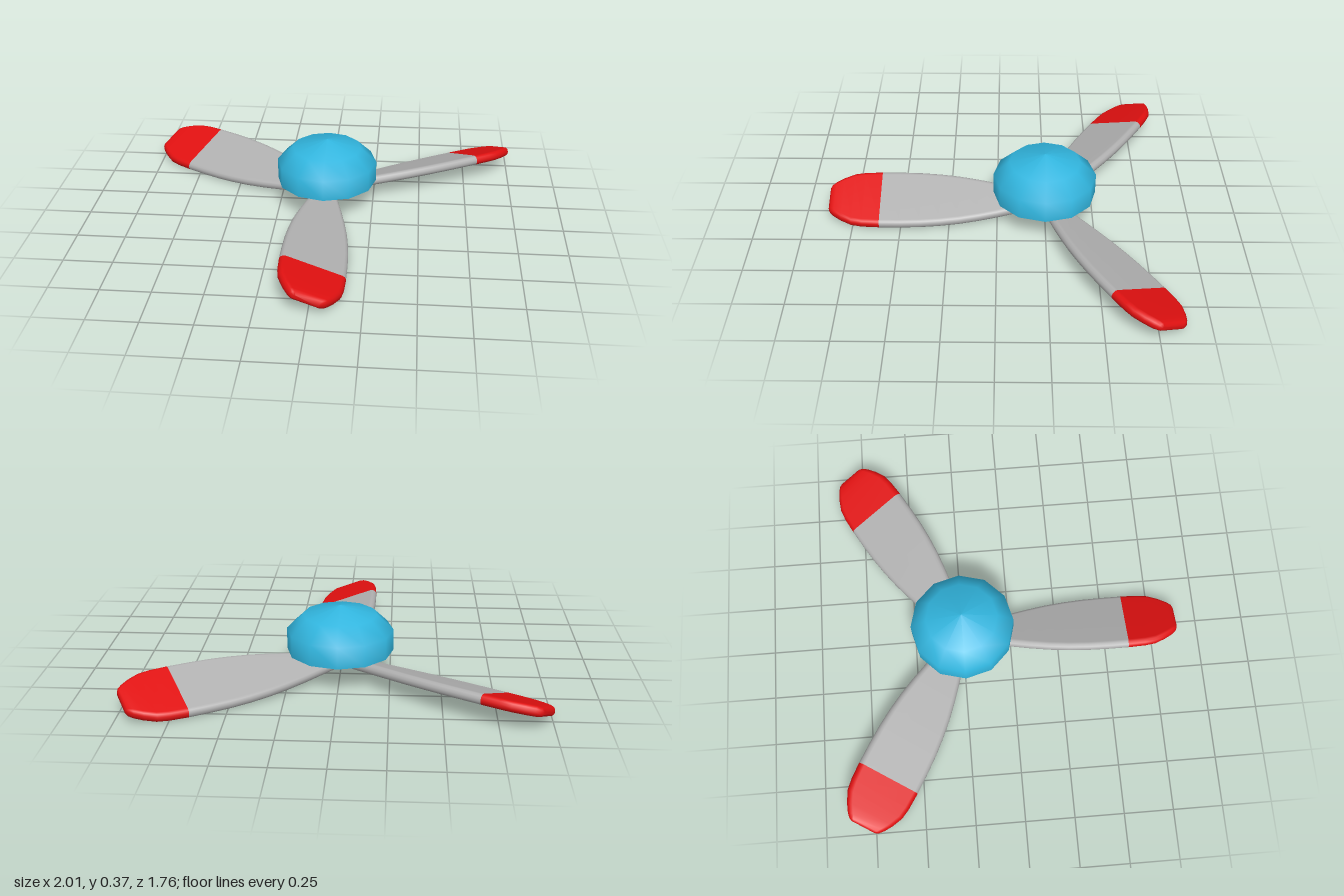
import * as THREE from 'three';

const HUB_Z = -0.245;

// One twist-free pitched blade running along +z, rounded edges and tip
function bladeGeometry() {
  // distance from hub axis, half width, half thickness
  const sections = [
    [0, 0.036, 0.027], [0.1, 0.064, 0.027], [0.245, 0.103, 0.026], [0.345, 0.126, 0.026],
    [0.445, 0.145, 0.026], [0.545, 0.158, 0.026], [0.645, 0.166, 0.026], [0.75, 0.169, 0.026],
    [0.855, 0.169, 0.026], [0.945, 0.165, 0.026], [1.0, 0.156, 0.026], [1.055, 0.13, 0.026],
    [1.095, 0.104, 0.025], [1.115, 0.086, 0.02], [1.124, 0.068, 0.01],
  ];
  const paintStart = 8, arc = 6, ring = (arc + 1) * 2;
  const tilt = -20 * Math.PI / 180;
  const pos = [], idx = [];
  for (const [r, w, t] of sections) {
    for (let k = 0; k < ring; k++) {
      const side = k <= arc ? 1 : -1;
      const a = -Math.PI / 2 + Math.PI * (k <= arc ? k / arc : 1 + (k - arc - 1) / arc);
      const x = side * (w - t) + t * Math.cos(a), y = t * Math.sin(a);
      pos.push(x * Math.cos(tilt) - y * Math.sin(tilt), x * Math.sin(tilt) + y * Math.cos(tilt), r);
    }
  }
  // root cap
  for (let k = 1; k < ring - 1; k++) idx.push(0, k + 1, k);
  let split = 0;
  for (let i = 0; i < sections.length - 1; i++) {
    if (i === paintStart) split = idx.length;
    for (let k = 0; k < ring; k++) {
      const n = (k + 1) % ring;
      const a = i * ring + k, b = i * ring + n, c = a + ring, d = b + ring;
      idx.push(a, b, d, a, d, c);
    }
  }
  // tip cap
  const last = (sections.length - 1) * ring;
  for (let k = 1; k < ring - 1; k++) idx.push(last, last + k, last + k + 1);

  const geo = new THREE.BufferGeometry();
  geo.setAttribute('position', new THREE.Float32BufferAttribute(pos, 3));
  geo.setIndex(idx);
  geo.addGroup(0, split, 0);
  geo.addGroup(split, idx.length - split, 1);
  geo.computeVertexNormals();
  return geo;
}

export function createModel() {
  const grey = new THREE.MeshStandardMaterial({ color: 0xb0b0b0 });
  grey.name = 'blade grey';
  const red = new THREE.MeshStandardMaterial({ color: 0xe01010 });
  red.name = 'tip red';
  const blue = new THREE.MeshStandardMaterial({ color: 0x31b5de });
  blue.name = 'hub blue';

  const model = new THREE.Group();
  model.name = 'propeller';

  // Three blades with painted tips
  const geo = bladeGeometry();
  for (let i = 0; i < 3; i++) {
    const blade = new THREE.Mesh(geo, [grey, red]);
    blade.name = 'blade' + (i + 1);
    blade.position.set(0, 0.079, HUB_Z);
    blade.rotation.y = i * Math.PI * 2 / 3;
    model.add(blade);
  }

  // Domed hub with flat underside
  const hub = new THREE.Group();
  hub.name = 'hub';
  hub.position.z = HUB_Z;
  const profile = [[0.265, 0.137], [0.265, 0.245], [0.183, 0.323], [0, 0.37]];
  const dome = new THREE.Mesh(
    new THREE.LatheGeometry(profile.map(([x, y]) => new THREE.Vector2(x, y)), 12), blue);
  dome.name = 'hubDome';
  const base = new THREE.Mesh(new THREE.CircleGeometry(0.265, 12), blue);
  base.name = 'hubBase';
  base.rotation.x = Math.PI / 2;
  base.position.y = 0.137;
  hub.add(dome, base);
  model.add(hub);
  return model;
}
